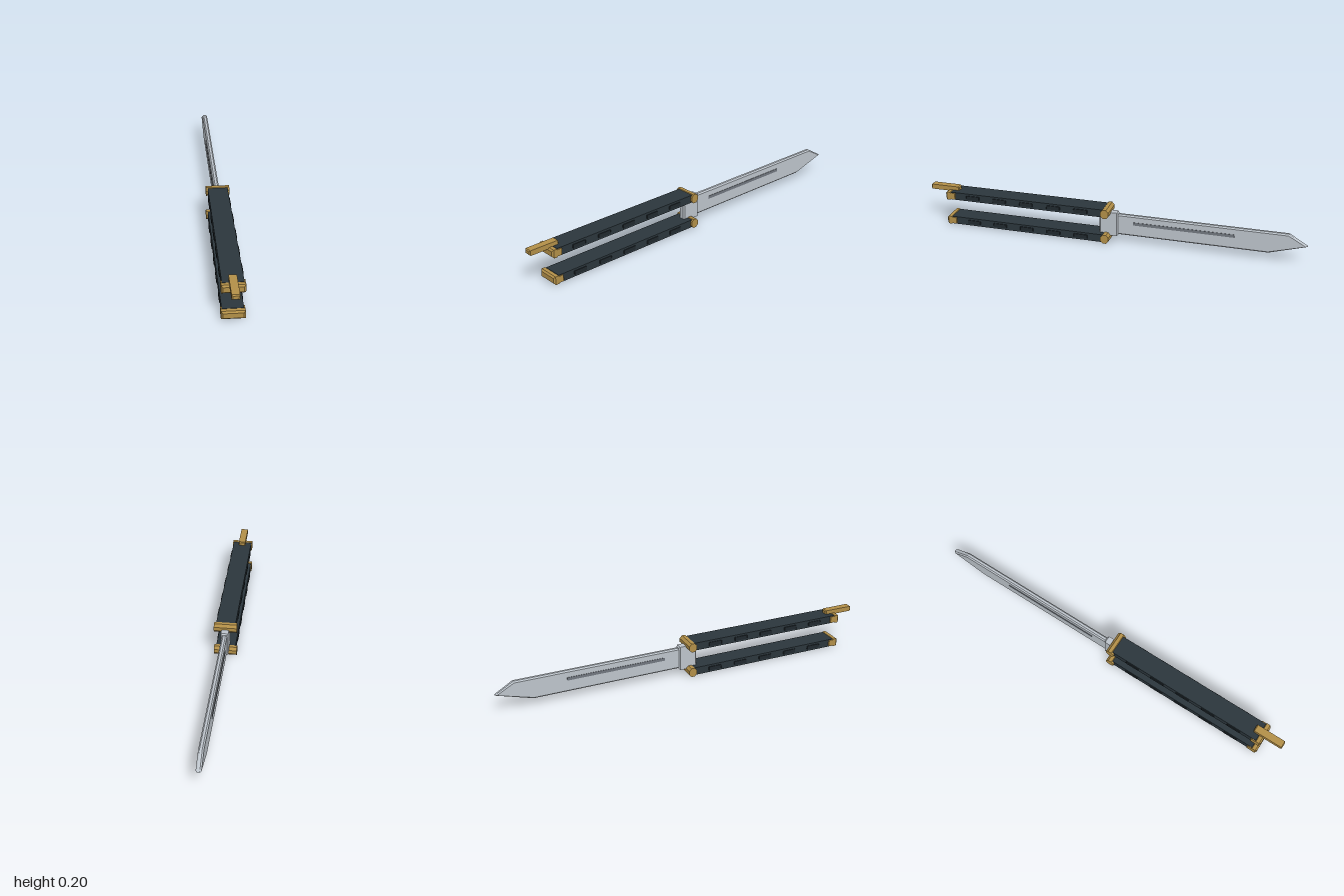
import * as THREE from 'three';

const mat = (name, color) => {
  const m = new THREE.MeshStandardMaterial({ color });
  m.name = name;
  return m;
};

// Box with every edge chamfered by c, centred on the origin
function chamferBox(w, h, d, c) {
  const x = w / 2 - c, y = h / 2 - c;
  const s = new THREE.Shape();
  s.moveTo(-x, -y).lineTo(x, -y).lineTo(x, y).lineTo(-x, y).closePath();
  const g = new THREE.ExtrudeGeometry(s, {
    depth: d - 2 * c, bevelEnabled: true, bevelThickness: c, bevelSize: c, bevelSegments: 1,
  });
  return g.translate(0, 0, -d / 2 + c);
}

export function createModel() {
  const brass = mat('brass', 0xb28f48);
  const grip = mat('dark grip', 0x2b363c);
  const inlay = mat('grip inlay', 0x20282d);
  const steel = mat('steel', 0xbcc3ca);
  const groove = mat('groove grey', 0x70767e);

  const model = new THREE.Group();
  model.name = 'foldingKnife';
  const add = (parent, name, geo, material, x, y, z) => {
    const m = new THREE.Mesh(geo, material);
    m.name = name;
    m.position.set(x, y, z);
    parent.add(m);
    return m;
  };

  // Blade: side outline in (z, y), extruded across x with chamfered edges
  const b = 0.007;
  const outline = new THREE.Shape();
  outline.moveTo(-0.02, 0.046).lineTo(0.8, 0.046).lineTo(0.981, 0.097)
    .lineTo(0.895, 0.145).lineTo(-0.02, 0.145).closePath();
  const bladeGeo = new THREE.ExtrudeGeometry(outline, {
    depth: 0.012, bevelEnabled: true, bevelThickness: b, bevelSize: b, bevelSegments: 1,
  });
  bladeGeo.translate(0, 0, -0.006).rotateY(Math.PI / 2);
  add(model, 'blade', bladeGeo, steel, 0, 0, 0);

  // Thicker blade root between the pivots
  add(model, 'bladeRoot', chamferBox(0.038, 0.128, 0.1, 0.007), steel, 0, 0.096, 0.018);

  // Long narrow groove on both blade faces
  for (const s of [-1, 1]) {
    add(model, 'bladeGroove', new THREE.BoxGeometry(0.003, 0.016, 0.52), groove, s * 0.0135, 0.109, -0.37);
  }

  // Two matching handles
  for (const [name, y] of [['lowerHandle', 0.0235], ['upperHandle', 0.1625]]) {
    const handle = new THREE.Group();
    handle.name = name;
    handle.position.y = y;
    model.add(handle);

    add(handle, 'grip', chamferBox(0.1, 0.041, 0.85, 0.006), grip, 0, 0, 0.455);

    // Octagonal pivot across the blade root
    const pivot = new THREE.CylinderGeometry(0.0235, 0.0235, 0.118, 8).toNonIndexed();
    pivot.rotateY(Math.PI / 8).rotateZ(Math.PI / 2);
    pivot.scale(1, 1.08, 1).computeVertexNormals();
    add(handle, 'pivot', pivot, brass, 0, 0, 0.029);

    // End cap with short arms along the sides
    add(handle, 'endCap', chamferBox(0.11, 0.042, 0.034, 0.008), brass, 0, 0, 0.886);
    for (const s of [-1, 1]) {
      add(handle, 'endCapArm', chamferBox(0.012, 0.034, 0.045, 0.003), brass, s * 0.049, 0, 0.871);
      // Row of raised inlays along each side
      for (let i = 0; i < 5; i++) {
        add(handle, 'sideInlay', chamferBox(0.01, 0.02, 0.075, 0.003), inlay, s * 0.049, 0, 0.158 + i * 0.148);
      }
    }
  }

  // Latch on top of the upper handle
  add(model, 'latch', chamferBox(0.037, 0.026, 0.16, 0.005), brass, 0, 0.19, 0.92);

  return model;
}
